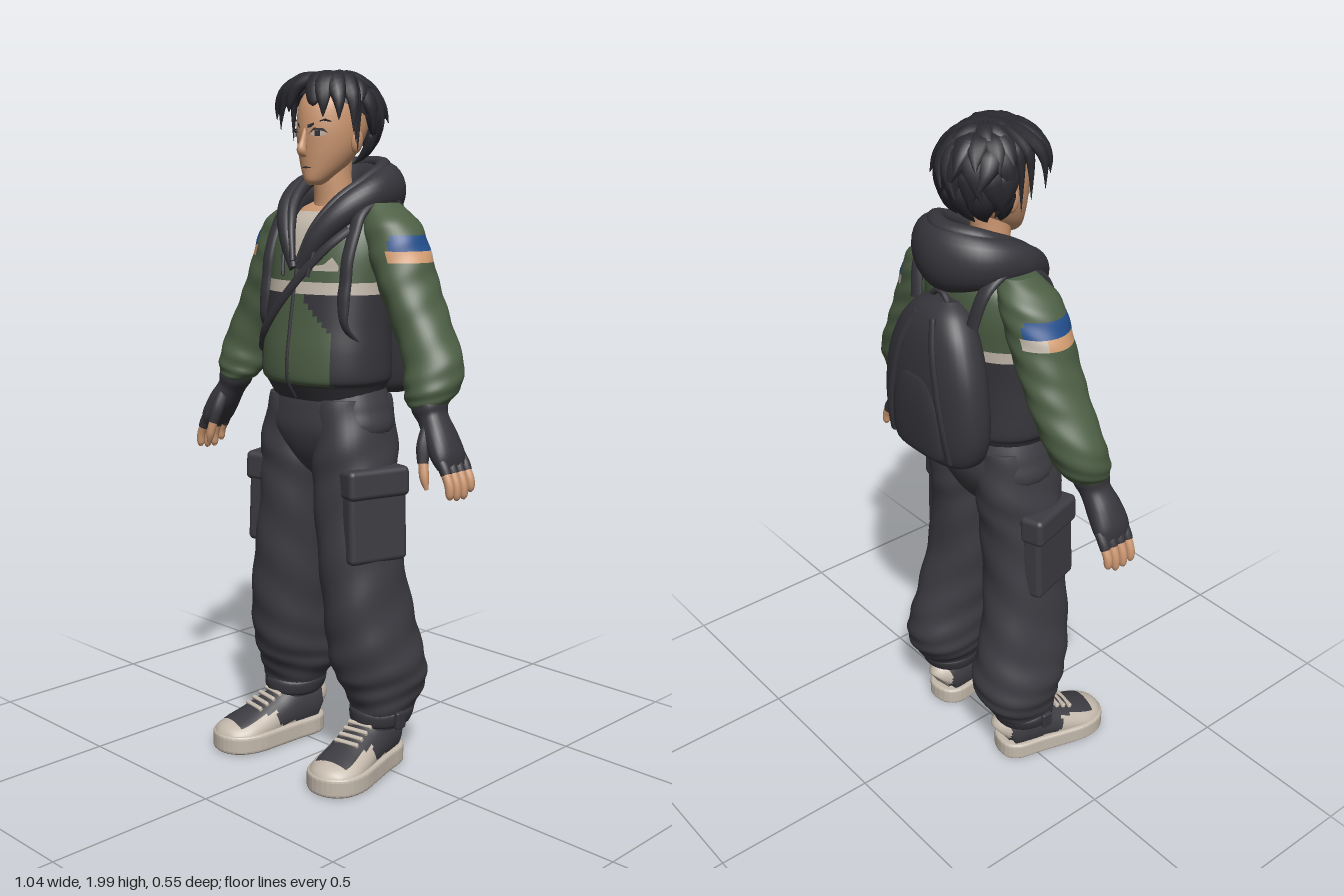
import * as THREE from 'three';
import { RoundedBoxGeometry } from 'three/addons/geometries/RoundedBoxGeometry.js';

const flat = (name, color) => Object.assign(new THREE.MeshStandardMaterial({ color }), { name });
const V = (x, y, z) => new THREE.Vector3(x, y, z);

// Skin from rings of points, at(u, angle), with optional end caps
function grid(m, n, at, caps = true) {
  const pos = [], idx = [];
  for (let i = 0; i <= m; i++) for (let j = 0; j < n; j++) pos.push(...at(i / m, j / n * Math.PI * 2));
  for (let i = 0; i < m; i++) for (let j = 0; j < n; j++) {
    const a = i * n + j, b = i * n + (j + 1) % n;
    idx.push(a, a + n, b, b, a + n, b + n);
  }
  if (caps) for (const row of [0, m]) {
    const base = pos.length / 3, mid = [0, 0, 0];
    for (let j = 0; j < n; j++) for (let k = 0; k < 3; k++) {
      const c = pos[(row * n + j) * 3 + k];
      pos.push(c);
      mid[k] += c / n;
    }
    pos.push(...mid);
    for (let j = 0; j < n; j++) {
      const a = base + j, b = base + (j + 1) % n;
      row ? idx.push(base + n, b, a) : idx.push(base + n, a, b);
    }
  }
  const g = new THREE.BufferGeometry();
  g.setAttribute('position', new THREE.Float32BufferAttribute(pos, 3));
  g.setIndex(idx);
  g.computeVertexNormals();
  return g;
}

function spline(keys, u) {
  const f = u * (keys.length - 1), i = Math.max(0, Math.min(Math.floor(f), keys.length - 2)), s = f - i;
  const K = j => keys[Math.max(0, Math.min(j, keys.length - 1))];
  return keys[0].map((_, c) => {
    const [a, b, d, e] = [K(i - 1)[c], K(i)[c], K(i + 1)[c], K(i + 2)[c]];
    return 0.5 * (2 * b + (d - a) * s + (2 * a - 5 * b + 4 * d - e) * s * s + (3 * b - a - 3 * d + e) * s ** 3);
  });
}

// Keys are [x, y, z, radiusA, radiusB]; level rings (listed upward), or rings square to the path if ref is given
function loft(keys, { m = 40, n = 28, pow = 1, fold = 0, ref = null } = {}) {
  const bend = v => Math.sign(v) * Math.abs(v) ** pow;
  return grid(m, n, (u, th) => {
    const k = spline(keys, u), w = 1 + fold * Math.sin(3 * th + 20 * u) * Math.sin(37 * u);
    const ca = bend(Math.cos(th)) * Math.max(k[3], 0.0005) * w, cb = bend(Math.sin(th)) * Math.max(k[4], 0.0005) * w;
    if (!ref) return [k[0] + ca, k[1], k[2] + cb];
    const p = spline(keys, Math.max(0, u - 0.01)), q = spline(keys, Math.min(1, u + 0.01));
    const t = V(q[0] - p[0], q[1] - p[1], q[2] - p[2]).normalize();
    const b = ref.clone().addScaledVector(t, -ref.dot(t)).normalize(), a = t.clone().cross(b);
    return V(k[0], k[1], k[2]).addScaledVector(a, ca).addScaledVector(b, cb).toArray();
  });
}

// Sort the quads of a skin into material groups by a rule on their centres
function paint(g, count, rule) {
  const p = g.attributes.position, ix = g.index.array, bins = Array.from({ length: count }, () => []);
  for (let i = 0; i < ix.length; i += 6) {
    const quad = [...ix.slice(i, i + 6)], c = V(0, 0, 0);
    quad.forEach(k => c.add(V(p.getX(k), p.getY(k), p.getZ(k))));
    bins[rule(c.divideScalar(6))].push(...quad);
  }
  g.setIndex(bins.flat());
  let start = 0;
  bins.forEach((b, i) => { g.addGroup(start, b.length, i); start += b.length; });
  return g;
}

function mirror(geo) {
  const g = geo.clone().scale(-1, 1, 1);
  if (!g.index) g.setIndex([...Array(g.attributes.position.count).keys()]);
  const ix = g.index.array;
  for (let i = 0; i < ix.length; i += 3) [ix[i + 1], ix[i + 2]] = [ix[i + 2], ix[i + 1]];
  return g;
}

const ray = new THREE.Raycaster();
function surf(mesh, x, y, side = 1) {
  ray.set(V(x, y, side * 2), V(0, 0, -side));
  const hit = ray.intersectObject(mesh)[0];
  return hit ? hit.point.z : 0;
}
// Thin plate laid onto the front of a mesh
function decal(mesh, pts, off = 0.003) {
  const g = new THREE.ShapeGeometry(new THREE.Shape(pts.map(p => new THREE.Vector2(...p))));
  const p = g.attributes.position;
  for (let i = 0; i < p.count; i++) p.setZ(i, surf(mesh, p.getX(i), p.getY(i)) + off);
  g.computeVertexNormals();
  return g;
}

export function createModel() {
  const root = new THREE.Group();
  root.name = 'hikerFigure';
  const cloth = flat('charcoalCloth', 0x3d3c42), dark = flat('darkFabric', 0x36353b), black = flat('hairBlack', 0x29292f);
  const green = flat('jacketGreen', 0x4d5f45), skin = flat('skin', 0xcd9872), beige = flat('beige', 0xc4b9ac);
  const blue = flat('bandBlue', 0x23508f), tan = flat('bandTan', 0xd49e72);
  black.side = THREE.DoubleSide;
  const X = V(1, 0, 0), Y = V(0, 1, 0), Z = V(0, 0, 1);
  const add = (name, geo, mat) => {
    const m = new THREE.Mesh(geo, mat);
    m.name = name;
    root.add(m);
    return m;
  };
  const pair = (name, geo, mat) => { add(name + 'Left', geo, mat); add(name + 'Right', mirror(geo), mat); };

  // Jacket body: hem, side panels, chest stripe, and the shirt and skin in the neckline
  const torso = add('jacketBody', paint(loft([
    [0, 1.085, 0.02, 0.165, 0.125], [0, 1.125, 0.022, 0.185, 0.145], [0, 1.15, 0.025, 0.2, 0.155], [0, 1.22, 0.025, 0.2, 0.153],
    [0, 1.3, 0.018, 0.195, 0.148], [0, 1.4, 0.005, 0.195, 0.145], [0, 1.5, -0.01, 0.2, 0.14], [0, 1.57, -0.022, 0.18, 0.125],
    [0, 1.61, -0.035, 0.13, 0.098], [0, 1.635, -0.035, 0.07, 0.065]], { m: 110, n: 72, pow: 0.9 }), 4, p => {
    const x = Math.abs(p.x);
    if (p.y < 1.13) return 1;
    if (p.z > 0 && p.y > 1.605) return 3;
    if (p.z > 0 && p.y > 1.48 && x < (p.y - 1.46) * 0.6) return 2;
    if (p.y > 1.38) return p.y < 1.42 ? 2 : 0;
    return p.z < 0 || x > 0.035 + THREE.MathUtils.clamp(1.37 - p.y, 0, 0.1) ? 1 : 0;
  }), [green, dark, beige, skin]);
  add('zipper', loft([1.09, 1.14, 1.2, 1.28, 1.36, 1.44, 1.48].map(y => [0, y, surf(torso, 0, y) + 0.001, 0.006, 0.004]),
    { n: 8, ref: Z }), dark);
  add('chestPatch', decal(torso, [[0.062, 1.447], [0.135, 1.447], [0.135, 1.462], [0.115, 1.485], [0.095, 1.465], [0.062, 1.46]], 0.005), beige);

  // Sleeves with a coloured armband
  pair('sleeve', paint(loft([
    [0.385, 1.09, 0.028, 0.042, 0.045], [0.38, 1.11, 0.02, 0.062, 0.06], [0.38, 1.15, 0.003, 0.078, 0.077],
    [0.365, 1.22, -0.016, 0.084, 0.082], [0.31, 1.32, -0.025, 0.082, 0.086], [0.265, 1.41, -0.026, 0.083, 0.089],
    [0.23, 1.5, -0.028, 0.086, 0.089], [0.193, 1.575, -0.032, 0.083, 0.081], [0.15, 1.63, -0.037, 0.05, 0.05]],
  { m: 90, n: 44, fold: 0.035 }), 4, p => {
    if (p.y < 1.473 || p.y > 1.545 || p.x < 0.258) return 0;
    return p.y > 1.507 ? 1 : p.z < -0.06 ? 3 : 2;
  }), [green, blue, tan, beige]);

  // Hood lying round the neck, its rim, and the drawstrings
  const bothSides = half => [...half, ...half.slice(0, -1).reverse().map(([x, ...r]) => [-x, ...r])];
  add('hood', loft(bothSides([[0.012, 1.45, 0.142, 0.012, 0.014], [0.058, 1.53, 0.122, 0.022, 0.028], [0.11, 1.605, 0.065, 0.034, 0.04],
    [0.138, 1.65, -0.02, 0.04, 0.052], [0.1, 1.662, -0.115, 0.055, 0.075], [0, 1.658, -0.158, 0.06, 0.092]]),
  { m: 70, n: 24, ref: Y }), dark);
  add('hoodRim', loft(bothSides([[0.01, 1.47, 0.148, 0.008, 0.008], [0.045, 1.56, 0.118, 0.012, 0.014], [0.085, 1.635, 0.065, 0.016, 0.017],
    [0.11, 1.69, -0.02, 0.018, 0.019], [0.09, 1.73, -0.11, 0.022, 0.02], [0, 1.74, -0.155, 0.026, 0.018]]),
  { m: 60, n: 12, ref: Y }), dark);
  pair('drawstring', loft([1.53, 1.48, 1.43].map((y, i) => [0.065 - i * 0.008, y, surf(torso, 0.06, y) + 0.008, 0.005, 0.005]),
    { m: 10, n: 8, ref: Z }), dark);

  // Backpack with outer pocket, straps and handle
  const pack = add('backpack', loft([[0, 1.08, -0.18, 0.1, 0.045], [0, 1.11, -0.185, 0.165, 0.072], [0, 1.2, -0.187, 0.195, 0.08],
    [0, 1.34, -0.185, 0.182, 0.08], [0, 1.45, -0.177, 0.142, 0.072], [0, 1.515, -0.165, 0.095, 0.055], [0, 1.545, -0.155, 0.05, 0.03]],
  { pow: 0.8, n: 40 }), dark);
  add('backpackPocket', loft([[0, 1.105, -0.235, 0.08, 0.02], [0, 1.13, -0.24, 0.11, 0.03], [0, 1.25, -0.243, 0.105, 0.033],
    [0, 1.34, -0.24, 0.07, 0.028], [0, 1.36, -0.235, 0.03, 0.015]], { m: 20, pow: 0.7 }), dark);
  pair('backpackWebbing', loft([[0.035, 1.51], [0.07, 1.42], [0.1, 1.3], [0.12, 1.2], [0.125, 1.12]]
    .map(([x, y]) => [x, y, surf(pack, x, y, -1) - 0.003, 0.012, 0.006]), { m: 20, n: 10, ref: Z }), dark);
  add('backpackHandle', new THREE.TorusGeometry(0.035, 0.009, 8, 20, Math.PI).translate(0, 1.53, -0.17), dark);
  pair('shoulderStrap', loft([[0.12, 1.5, -0.16, 0.01, 0.022], [0.14, 1.6, -0.13, 0.012, 0.022], [0.15, 1.645, -0.05, 0.012, 0.022],
    [0.152, 1.605, 0.04, 0.012, 0.022], ...[1.55, 1.48, 1.42, 1.36].map(y => [0.156, y, surf(torso, 0.156, y) + 0.01, 0.012, 0.021]),
    [0.165, 1.29, surf(torso, 0.165, 1.29) + 0.006, 0.007, 0.012], [0.185, 1.22, 0.04, 0.006, 0.012]],
  { m: 50, n: 14, ref: X }), dark);
  add('crossbodyStrap', loft([[0.14, 1.56], [0.1, 1.515], [0.04, 1.45], [-0.02, 1.385], [-0.08, 1.32], [-0.13, 1.265], [-0.175, 1.21]]
    .map(([x, y]) => [x, y, surf(torso, x, y) + 0.006, 0.014, 0.007]), { m: 40, n: 10, ref: Z }), dark);

  // Trousers
  add('trouserHips', loft([[0, 0.85, 0.018, 0.03, 0.05], [0, 0.91, 0.016, 0.1, 0.105], [0, 0.99, 0.012, 0.2, 0.136],
    [0, 1.06, 0.01, 0.195, 0.136], [0, 1.12, 0.012, 0.175, 0.125]], { pow: 0.9 }), cloth);
  pair('trouserLeg', loft([[0.182, 0.135, -0.012, 0.074, 0.078], [0.182, 0.19, -0.025, 0.09, 0.1], [0.172, 0.25, -0.034, 0.114, 0.13],
    [0.167, 0.32, -0.022, 0.122, 0.148], [0.155, 0.44, 0.002, 0.114, 0.142], [0.134, 0.62, 0.022, 0.112, 0.126],
    [0.116, 0.82, 0.022, 0.111, 0.124], [0.106, 0.95, 0.015, 0.107, 0.13], [0.09, 1.09, 0.01, 0.09, 0.12]],
  { m: 70, n: 36, pow: 0.92, fold: 0.035 }), cloth);
  pair('ankleStrap', loft([[0.182, 0.138, -0.015, 0.076, 0.08], [0.182, 0.148, -0.015, 0.086, 0.092], [0.182, 0.178, -0.02, 0.092, 0.098],
    [0.182, 0.19, -0.02, 0.082, 0.088]], { m: 12 }), dark);
  pair('ankleBuckle', new RoundedBoxGeometry(0.018, 0.05, 0.035, 2, 0.006).translate(0.272, 0.165, 0.0), dark);
  const pocket = (w, h, d, y, tilt) => new RoundedBoxGeometry(w, h, d, 3, 0.016).rotateZ(tilt).rotateY(-0.28).translate(0.208, y, 0.045);
  pair('cargoPocket', pocket(0.062, 0.24, 0.185, 0.755, 0.04), cloth);
  pair('cargoPocketFlap', pocket(0.076, 0.085, 0.195, 0.862, 0.04), cloth);

  // Shoes: pale sole, dark upper with pale toe rim, heel tab and laces
  const place = g => g.rotateY(0.17).translate(0.172, 0, 0);
  const half = [[0.03, -0.083], [0.056, -0.055], [0.064, 0.02], [0.074, 0.1], [0.081, 0.18], [0.064, 0.235], [0.026, 0.263]];
  const outline = new THREE.Shape(new THREE.CatmullRomCurve3([...half, ...half.slice().reverse().map(([x, z]) => [-x, z])]
    .map(([x, z]) => V(x, -z, 0)), true).getPoints(48).slice(0, -1).map(p => new THREE.Vector2(p.x, p.y)));
  pair('shoeSole', place(new THREE.ExtrudeGeometry(outline, { depth: 0.036, bevelThickness: 0.01, bevelSize: 0.008, bevelSegments: 3 })
    .rotateX(-Math.PI / 2).translate(0, 0.012, 0)), beige);
  pair('shoeTread', place(new THREE.CircleGeometry(1, 28).scale(0.054, 0.14, 1).rotateX(Math.PI / 2).translate(0, 0, 0.09)), dark);
  const upper = loft([[0, 0.08, -0.085, 0.03, 0.05], [0, 0.09, -0.065, 0.055, 0.072], [0, 0.095, 0, 0.064, 0.085],
    [0, 0.08, 0.07, 0.068, 0.066], [0, 0.06, 0.14, 0.076, 0.056], [0, 0.048, 0.2, 0.079, 0.046], [0, 0.042, 0.245, 0.06, 0.036],
    [0, 0.036, 0.27, 0.022, 0.016]], { m: 60, n: 40, ref: Y });
  pair('shoeUpper', place(paint(upper, 2, p => p.z > 0.222 || p.z < -0.076 || p.y < 0.06 || (p.z > 0.1 && Math.abs(p.x) > 0.056) ? 1 : 0)), [cloth, beige]);
  for (let i = 0; i < 4; i++) {
    const z = 0.075 + i * 0.023;
    pair('shoelace' + i, place(new RoundedBoxGeometry(0.08, 0.014, 0.013, 2, 0.004).rotateX(0.45).translate(0, 0.149 - 0.46 * (z - 0.07), z)), beige);
  }

  // Fingerless gloves and hands
  pair('glove', loft([[0.38, 1.13, 0.022, 0.045, 0.045], [0.395, 1.095, 0.028, 0.046, 0.049], [0.41, 1.065, 0.03, 0.037, 0.043],
    [0.44, 1.02, 0.035, 0.037, 0.052], [0.468, 0.975, 0.037, 0.031, 0.057], [0.482, 0.945, 0.037, 0.02, 0.05]],
  { m: 30, n: 24, pow: 0.85, ref: Z }), dark);
  for (let i = 0; i < 4; i++) {
    const z = -0.008 + i * 0.028, s = i === 0 ? 0.015 : i === 3 ? 0.006 : 0;
    pair('gloveFinger' + i, loft([[0.47, 0.975, z, 0.015, 0.015], [0.487, 0.95, z, 0.016, 0.015], [0.496, 0.932, z, 0.015, 0.014]],
      { m: 8, n: 10, ref: Z }), dark);
    pair('finger' + i, loft([[0.488, 0.945, z, 0.013, 0.013], [0.506, 0.905 + s / 2, z, 0.013, 0.013], [0.509, 0.872 + s, z, 0.011, 0.011],
      [0.506, 0.862 + s, z, 0.004, 0.004]], { m: 12, n: 10, ref: Z }), skin);
  }
  pair('gloveThumb', loft([[0.415, 1.05, 0.055, 0.018, 0.02], [0.42, 1.0, 0.08, 0.02, 0.02], [0.428, 0.955, 0.092, 0.015, 0.015]],
    { m: 12, n: 12, ref: Z }), dark);
  pair('thumb', loft([[0.427, 0.965, 0.09, 0.013, 0.013], [0.437, 0.92, 0.096, 0.013, 0.013], [0.446, 0.887, 0.096, 0.005, 0.005]],
    { m: 12, n: 10, ref: Z }), skin);

  // Neck, head and face
  add('neck', loft([[0, 1.58, -0.02, 0.075, 0.075], [0, 1.63, -0.012, 0.06, 0.063], [0, 1.69, 0, 0.052, 0.056], [0, 1.75, 0, 0.05, 0.06]]), skin);
  const head = add('head', loft([[0, 1.678, 0.07, 0.016, 0.018], [0, 1.692, 0.06, 0.034, 0.04], [0, 1.73, 0.035, 0.061, 0.069],
    [0, 1.78, 0.015, 0.081, 0.093], [0, 1.84, 0, 0.09, 0.111], [0, 1.9, -0.005, 0.085, 0.106], [0, 1.94, -0.01, 0.06, 0.08],
    [0, 1.955, -0.01, 0.02, 0.03]], { m: 50, n: 40 }), skin);
  pair('ear', new THREE.SphereGeometry(1, 14, 10).scale(0.012, 0.032, 0.02).rotateZ(-0.15).translate(0.092, 1.795, -0.002), skin);
  add('nose', loft([[0, 1.83, 0.104, 0.007, 0.008], [0, 1.795, 0.114, 0.008, 0.011], [0, 1.772, 0.121, 0.013, 0.014],
    [0, 1.757, 0.11, 0.011, 0.006]], { m: 16, n: 14, ref: Z }), skin);
  pair('eye', decal(head, [[0.022, 1.814], [0.035, 1.824], [0.054, 1.822], [0.062, 1.815], [0.042, 1.808]]), beige);
  pair('iris', decal(head, [[0.036, 1.809], [0.048, 1.809], [0.049, 1.824], [0.036, 1.825]], 0.005), black);
  pair('eyelid', decal(head, [[0.02, 1.815], [0.035, 1.826], [0.056, 1.823], [0.066, 1.816], [0.056, 1.83], [0.034, 1.832]], 0.006), black);
  pair('eyebrow', decal(head, [[0.015, 1.84], [0.058, 1.856], [0.07, 1.849], [0.016, 1.831]], 0.004), black);
  add('mouth', decal(head, [[-0.022, 1.725], [0, 1.729], [0.022, 1.725], [0, 1.723]]), dark);

  // Hair: scalp cap, layered pointed locks from the crown, and a parted fringe
  const scalp = (p, f, r) => [Math.sin(p) * Math.sin(f) * 0.113 * r, 1.87 + Math.cos(p) * (p < 1.571 ? 0.107 : 0.14) * r,
    -0.015 + Math.sin(p) * Math.cos(f) * 0.122 * r];
  add('hairCap', grid(16, 36, (u, f) => scalp(u * (1.62 - 0.6 * Math.cos(f)), f, 1.0), false), black);
  let seed = 7;
  const rnd = () => (seed = seed * 16807 % 2147483647) / 2147483647;
  const lock = (name, pts, w) => {
    const mid = pts[2];
    add(name, loft(pts.map((p, i) => [...p, w * [0.5, 1, 0.85, 0.5, 0.02][i], w * [0.3, 0.5, 0.48, 0.3, 0.02][i]]),
      { m: 12, n: 8, ref: V(mid[0], mid[1] - 1.86, mid[2] + 0.015).normalize() }), black);
  };
  for (const [count, p0, p1, lift] of [[9, 0.05, 0.9, 0.16], [14, 0.4, 1.35, 0.22], [17, 0.8, 1.85, 0.22], [16, 1.3, 2.2, 0.16], [16, 1.7, 2.6, 0.08]]) {
    for (let i = 0; i < count; i++) {
      const f = (i + rnd() * 0.7) / count * Math.PI * 2, drift = (rnd() - 0.4) * 0.8, end = p1 + (rnd() - 0.5) * 0.3, up = lift * (0.5 + rnd() * 0.7);
      if (Math.cos(f + drift / 2) > (p1 > 2 ? -0.1 : 0.25) && p1 > 1.2) continue;
      lock('hairLock', [0, 0.25, 0.5, 0.75, 1].map(t => scalp(p0 + (end - p0) * t, f + drift * t * t, 1.0 + up * t * t)), 0.033);
    }
  }
  for (const [x, y, z] of [[-0.04, 1.875, 0.13], [-0.072, 1.85, 0.125], [-0.118, 1.856, 0.102], [-0.142, 1.83, 0.065], [-0.122, 1.8, 0.035], [-0.11, 1.77, 0.012],
    [0.05, 1.888, 0.128], [0.082, 1.858, 0.12], [0.118, 1.85, 0.095], [0.134, 1.82, 0.055], [0.118, 1.795, 0.03], [0.108, 1.77, 0.012]]) {
    const s = 0.01;
    lock('fringeLock', [[s + x * 0.15, 1.968, z * 0.3], [s + x * 0.45, 1.968, z * 0.62], [x * 0.8, 1.94, z * 0.86],
      [x * 0.98, 1.9, z * 0.97], [x, y, z]], 0.032);
  }
  return root;
}
